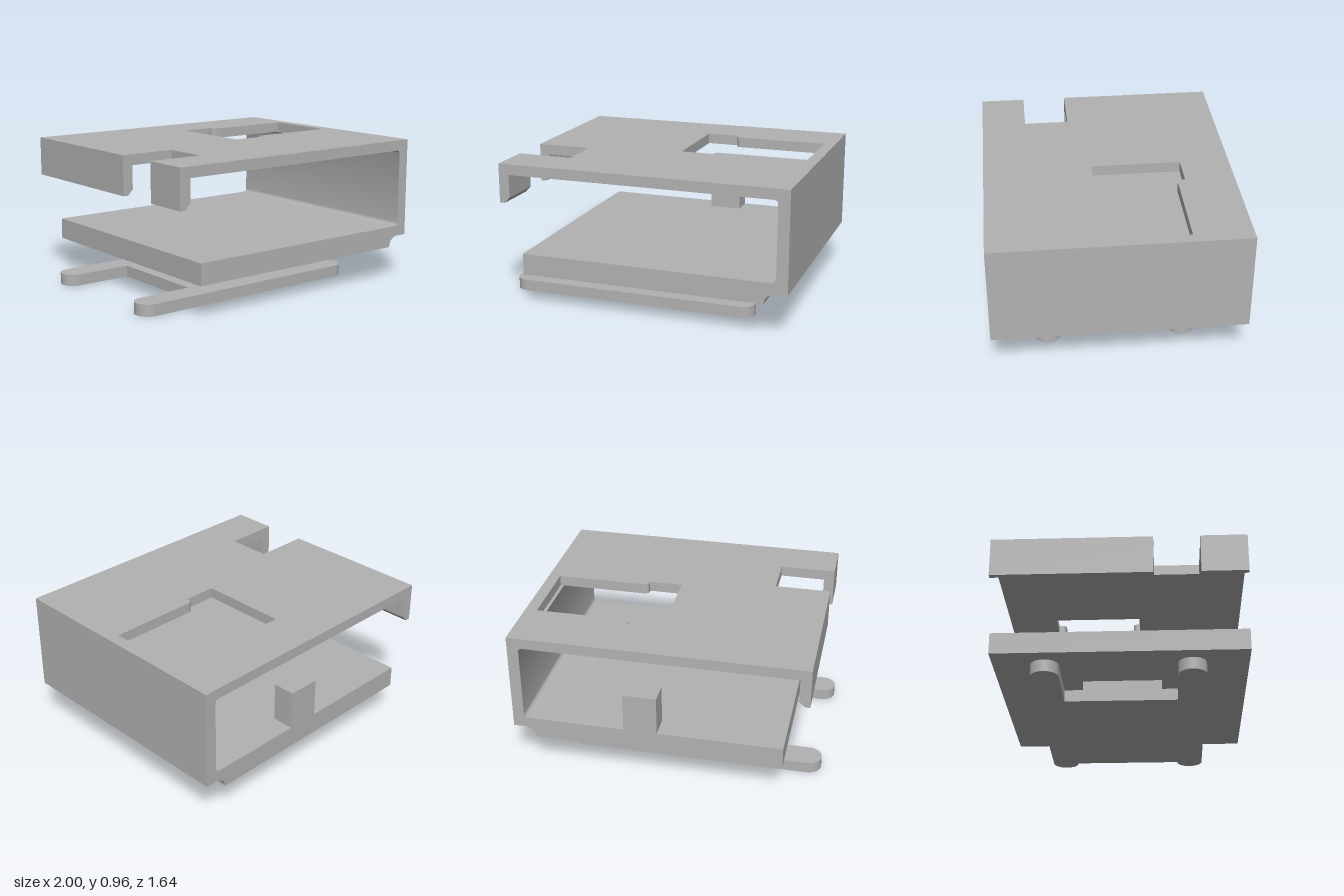
import * as THREE from 'three';
import { toCreasedNormals } from 'three/addons/utils/BufferGeometryUtils.js';

const plastic = new THREE.MeshStandardMaterial({ color: 0xb2b2b2 });
plastic.name = 'light grey';

const HALF = 0.82; // half depth of the housing

function add(group, name, geometry) {
  const mesh = new THREE.Mesh(toCreasedNormals(geometry, 0.6), plastic);
  mesh.name = name;
  group.add(mesh);
}

// Side profile (x, y) swept from z0 to z1
function sweep(shape, z0, z1) {
  return new THREE.ExtrudeGeometry(shape, { depth: z1 - z0, bevelEnabled: false, curveSegments: 10 })
    .translate(0, 0, z0);
}

// Plan outline (x, -z) raised from y0 to y1
function raise(shape, y0, y1) {
  return new THREE.ExtrudeGeometry(shape, { depth: y1 - y0, bevelEnabled: false, curveSegments: 12 })
    .rotateX(-Math.PI / 2).translate(0, y0, 0);
}

function polygon(points) {
  return new THREE.Shape(points.map(([x, y]) => new THREE.Vector2(x, y)));
}

function box(x0, x1, y0, y1, z0, z1) {
  return new THREE.BoxGeometry(x1 - x0, y1 - y0, z1 - z0)
    .translate((x0 + x1) / 2, (y0 + y1) / 2, (z0 + z1) / 2);
}

export function createModel() {
  const model = new THREE.Group();
  model.name = 'clip housing';

  // Floor and side wall, with inner fillets and a concave groove below
  const channel = new THREE.Shape();
  channel.moveTo(-0.78, 0.228);
  channel.lineTo(0.85, 0.228);
  channel.absarc(0.922, 0.228, 0.072, Math.PI, Math.PI / 2, true);
  channel.lineTo(1, 0.3);
  channel.lineTo(1, 0.965);
  channel.lineTo(0.925, 0.965);
  channel.lineTo(0.925, 0.895);
  channel.lineTo(0.9, 0.895);
  channel.absarc(0.9, 0.87, 0.025, Math.PI / 2, 0, true);
  channel.lineTo(0.925, 0.395);
  channel.absarc(0.9, 0.395, 0.025, 0, -Math.PI / 2, true);
  channel.lineTo(-0.78, 0.37);
  channel.closePath();
  add(model, 'floorAndSideWall', sweep(channel, -HALF, HALF));

  // Roof with an edge notch and a stepped window
  const roof = polygon([
    [-0.93, -HALF], [0.925, -HALF], [0.925, HALF], [-0.93, HALF],
    [-0.93, -0.22], [-0.56, -0.22], [-0.56, -0.52], [-0.93, -0.52],
  ]);
  const opening = new THREE.Path();
  opening.moveTo(0.07, -0.105);
  opening.lineTo(0.07, 0.492);
  opening.lineTo(0.293, 0.492);
  opening.lineTo(0.293, 0.472);
  opening.quadraticCurveTo(0.293, 0.44, 0.325, 0.44);
  opening.lineTo(0.922, 0.44);
  opening.lineTo(0.922, -0.058);
  opening.lineTo(0.325, -0.058);
  opening.quadraticCurveTo(0.293, -0.058, 0.293, -0.09);
  opening.lineTo(0.293, -0.105);
  opening.closePath();
  roof.holes.push(opening);
  add(model, 'roof', raise(roof, 0.895, 0.965));

  // Hanging lip on both sides of the notch
  const lip = polygon([
    [-0.93, 0.705], [-0.895, 0.705], [-0.86, 0.742], [-0.86, 0.895], [-0.93, 0.895],
  ]);
  add(model, 'longLip', sweep(lip, -HALF, 0.22));
  add(model, 'shortLip', sweep(lip, 0.52, HALF));

  // Upright tab on the rear edge of the floor
  add(model, 'rearTab', box(0.035, 0.255, 0.37, 0.632, -HALF, -0.67));

  // Pedestal between the floor and the foot
  add(model, 'pedestal', box(-0.335, 0.402, 0.075, 0.228, -0.26, 0.26));

  // Foot plate: two round-ended rails joined by a web
  const r = 0.088;
  for (const side of [-1, 1]) {
    const rail = new THREE.Shape();
    rail.absarc(0.7 - r, side * 0.448, r, -Math.PI / 2, Math.PI / 2, false);
    rail.absarc(-1 + r, side * 0.448, r, Math.PI / 2, Math.PI * 1.5, false);
    rail.closePath();
    add(model, side < 0 ? 'frontRail' : 'rearRail', raise(rail, 0, 0.077));
  }
  add(model, 'footWeb', box(-0.535, 0.612, 0, 0.077, -0.36, 0.36));

  return model;
}
